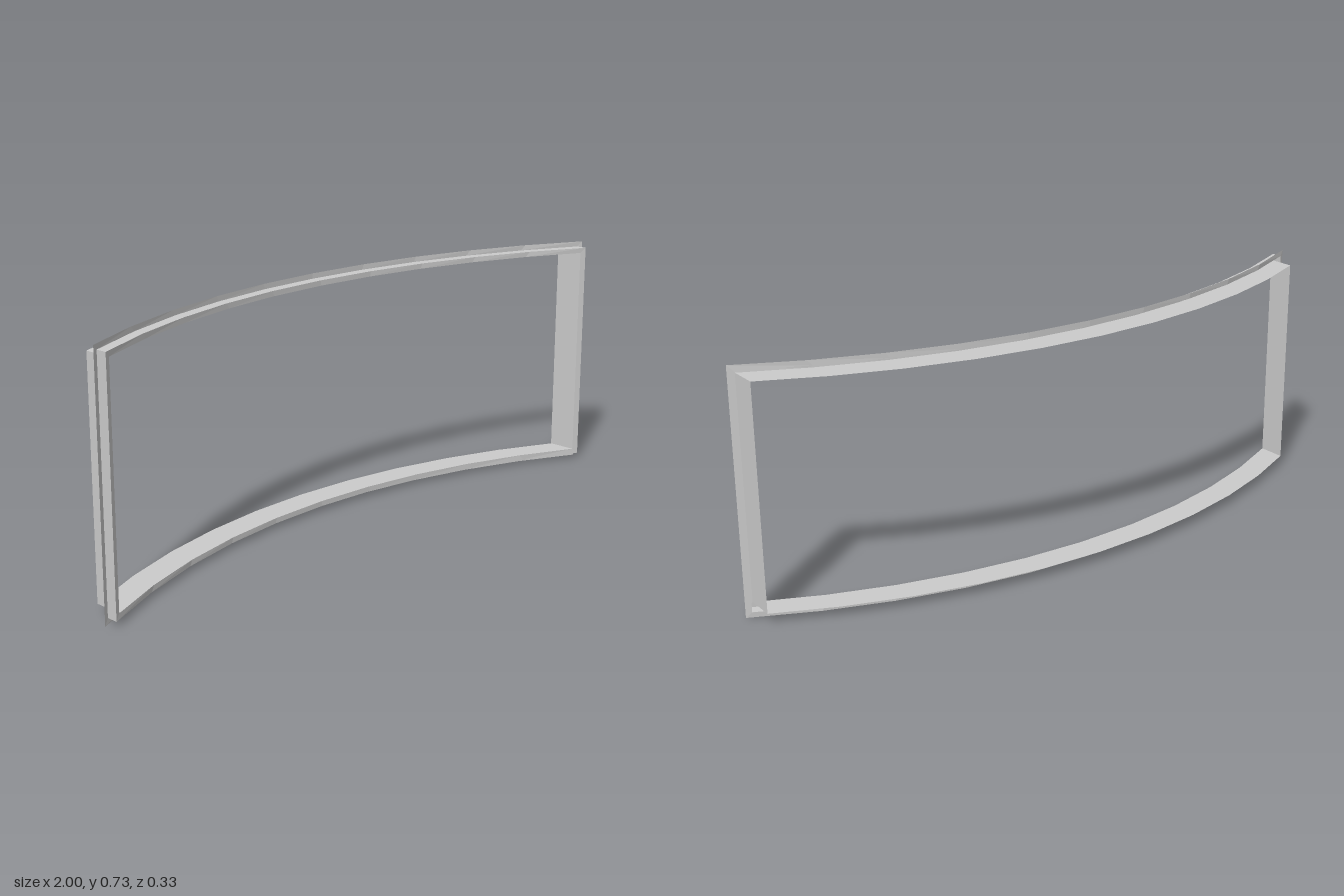
import * as THREE from 'three';

const HEIGHT = 0.733;
const RADIUS = 2.12; // bend of the frame in plan
const SEGMENTS = 10;

// One rectangular loop of the bent frame, counter-clockwise from the front.
// inset: distance in from the outer edge; depth: z at the middle of the bend.
function ring({ inset, depth }) {
  const half = Math.asin((1 - inset) / RADIUS);
  const rail = (y, dir) => Array.from({ length: SEGMENTS + 1 }, (_, i) => {
    const a = dir * half * (2 * i / SEGMENTS - 1);
    return new THREE.Vector3(RADIUS * Math.sin(a), y, depth + RADIUS * (1 - Math.cos(a)));
  });
  return [...rail(inset, 1), ...rail(HEIGHT - inset, -1)];
}

// Faceted strip joining two loops
function strip(name, from, to, material) {
  const a = ring(from), b = ring(to), points = [];
  for (let i = 0; i < a.length; i++) {
    const j = (i + 1) % a.length;
    points.push(b[i], b[j], a[j], b[i], a[j], a[i]);
  }
  const geometry = new THREE.BufferGeometry().setFromPoints(points);
  geometry.computeVertexNormals();
  const mesh = new THREE.Mesh(geometry, material);
  mesh.name = name;
  return mesh;
}

export function createModel() {
  const group = new THREE.Group();
  group.name = 'curvedWindowFrame';
  const material = new THREE.MeshStandardMaterial({
    color: 0xcccccc, flatShading: true, side: THREE.DoubleSide,
  });

  // Stepped sheet profile, from the back of the opening to the outer edge
  const profile = [
    { inset: 0.032, depth: -0.166 },
    { inset: 0.032, depth: -0.077 },
    { inset: 0.016, depth: -0.077 },
    { inset: 0.016, depth: -0.112 },
    { inset: 0, depth: -0.112 },
  ];
  const names = ['innerReveal', 'frontTrim', 'outerReturn', 'wallFlange'];
  names.forEach((name, i) => group.add(strip(name, profile[i], profile[i + 1], material)));
  return group;
}
